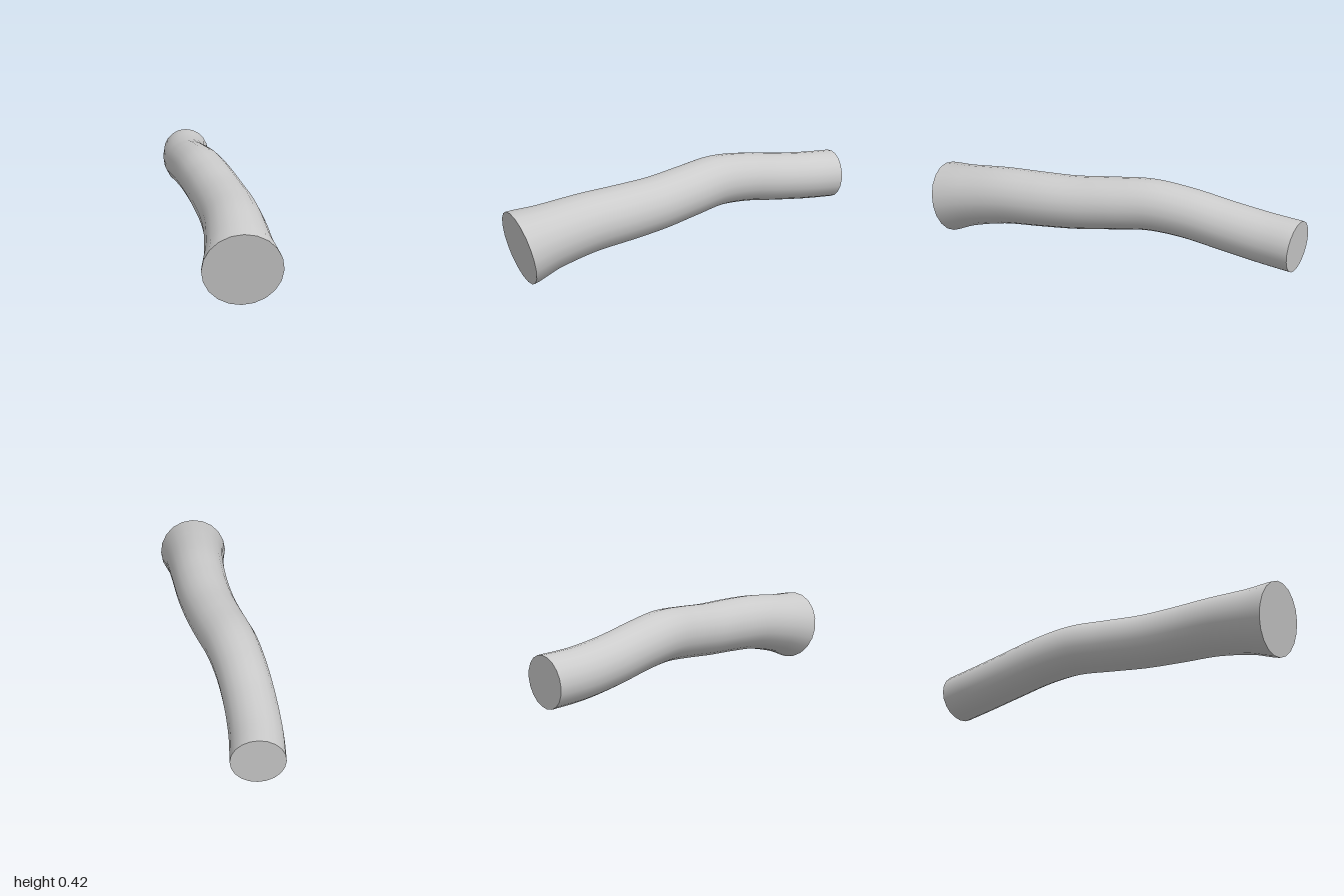
import * as THREE from 'three';

// Centre line from back to front: x, y, z, radius
const STATIONS = [
  [0.18, 0.187, -0.965, 0.13],
  [0.128, 0.2, -0.8, 0.129],
  [0.083, 0.23, -0.6, 0.128],
  [0.052, 0.268, -0.4, 0.129],
  [0.034, 0.29, -0.2, 0.133],
  [0.026, 0.278, 0, 0.136],
  [0.012, 0.261, 0.2, 0.139],
  [-0.012, 0.254, 0.4, 0.144],
  [-0.05, 0.244, 0.6, 0.15],
  [-0.097, 0.213, 0.8, 0.164],
  [-0.13, 0.185, 0.936, 0.187],
];

// Bends a unit cylinder along the centre line, with its radius following the stations
function bentLimb(sides, rings) {
  const path = new THREE.CatmullRomCurve3(STATIONS.map(([x, y, z]) => new THREE.Vector3(x, y, z)));
  const girth = new THREE.SplineCurve(STATIONS.map((s, i) => new THREE.Vector2(i, s[3])));
  const geometry = new THREE.CylinderGeometry(1, 1, 1, sides, rings);
  const { position, normal } = geometry.attributes;
  const up = new THREE.Vector3(0, 1, 0);
  const v = new THREE.Vector3();
  const n = new THREE.Vector3();
  const basis = new THREE.Matrix4();
  for (let i = 0; i < position.count; i++) {
    v.fromBufferAttribute(position, i);
    n.fromBufferAttribute(normal, i);
    const t = THREE.MathUtils.clamp(v.y + 0.5, 0, 1);
    const along = path.getTangent(t);
    const side = new THREE.Vector3().crossVectors(up, along).normalize();
    basis.makeBasis(side, along, new THREE.Vector3().crossVectors(side, along));
    v.setY(0).multiplyScalar(girth.getPoint(t).y).applyMatrix4(basis).add(path.getPoint(t));
    n.applyMatrix4(basis);
    position.setXYZ(i, v.x, v.y, v.z);
    normal.setXYZ(i, n.x, n.y, n.z);
  }
  return geometry;
}

export function createModel() {
  const group = new THREE.Group();
  // One bent, flaring log with flat cut ends
  const log = new THREE.Mesh(bentLimb(20, 50), new THREE.MeshStandardMaterial({ color: 0xcccccc }));
  log.name = 'log';
  group.add(log);
  return group;
}
